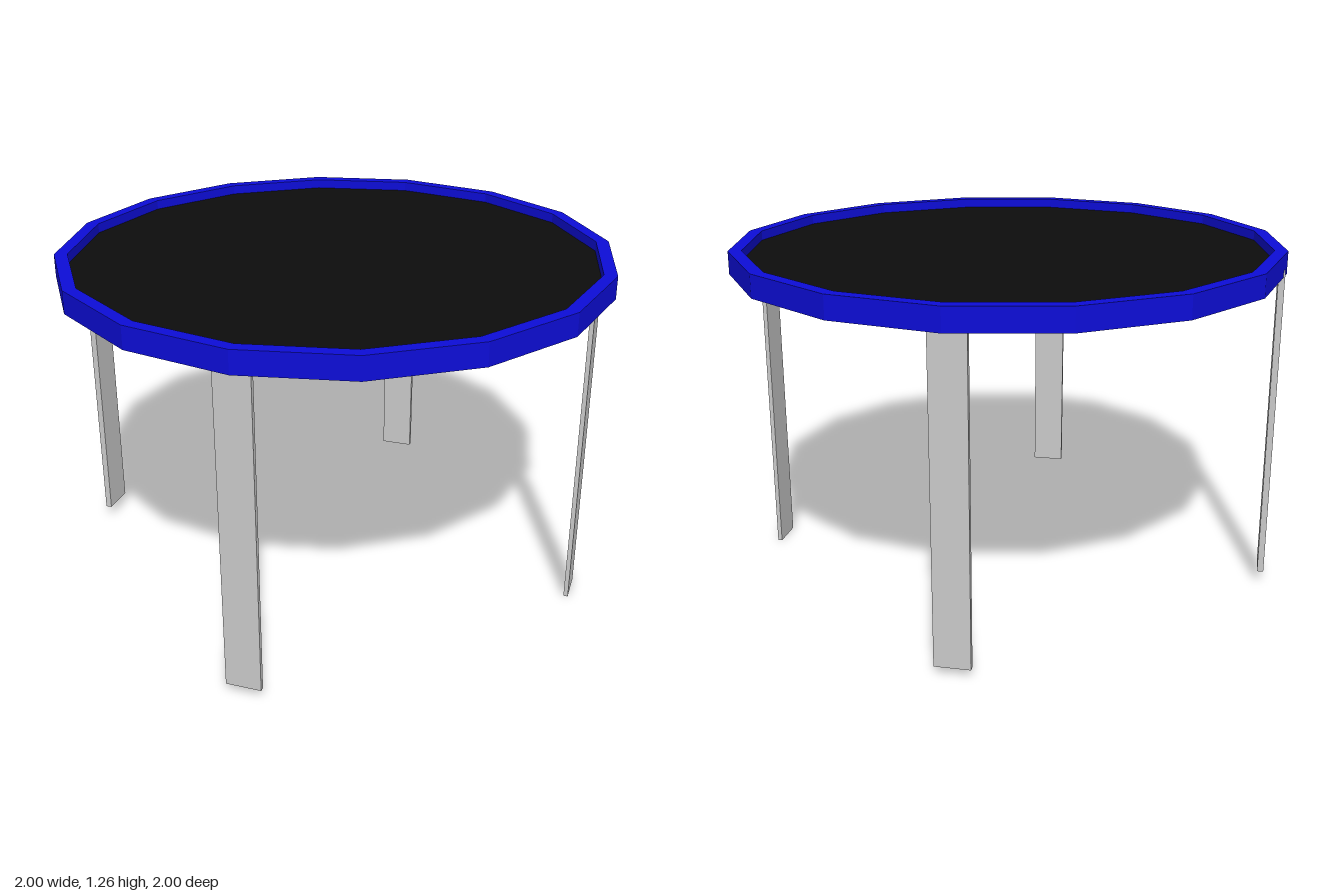
import * as THREE from 'three';

export function createModel() {
  const group = new THREE.Group();
  const blue = new THREE.MeshStandardMaterial({ name: 'blue rim', color: 0x0d0dd8, flatShading: true });
  const black = new THREE.MeshStandardMaterial({ name: 'black top', color: 0x0d0d0d, flatShading: true });
  const grey = new THREE.MeshStandardMaterial({ name: 'light grey legs', color: 0xcacaca, flatShading: true });
  const SIDES = 16;

  const add = (name, geometry, material, x = 0, y = 0, z = 0) => {
    const mesh = new THREE.Mesh(geometry, material);
    mesh.name = name;
    mesh.position.set(x, y, z);
    group.add(mesh);
  };

  // Shallow tray: underside, outer wall, raised rim and inner wall
  const profile = [[0, 1.175], [1, 1.175], [1, 1.257], [0.953, 1.257], [0.953, 1.22]]
    .map(([r, y]) => new THREE.Vector2(r, y));
  add('tableRim', new THREE.LatheGeometry(profile, SIDES), blue);

  // Recessed top panel
  const panel = new THREE.CircleGeometry(0.953, SIDES).rotateX(-Math.PI / 2);
  add('tableTop', panel, black, 0, 1.222, 0);

  // Four flat slat legs: name, x, z, foot height, thickness
  const LENGTH = 1.155, WIDTH = 0.126;
  const legs = [
    ['leftLeg', 0.934, 0, 0, 0.016],
    ['rightLeg', -0.982, 0, 0.045, 0.023],
    ['frontLeg', 0, 0.976, 0.035, 0.017],
    ['backLeg', 0, -0.925, 0.028, 0.021],
  ];
  for (const [name, x, z, foot, thick] of legs) {
    const size = x ? [thick, LENGTH, WIDTH] : [WIDTH, LENGTH, thick];
    add(name, new THREE.BoxGeometry(...size), grey, x, foot + LENGTH / 2, z);
  }
  return group;
}
